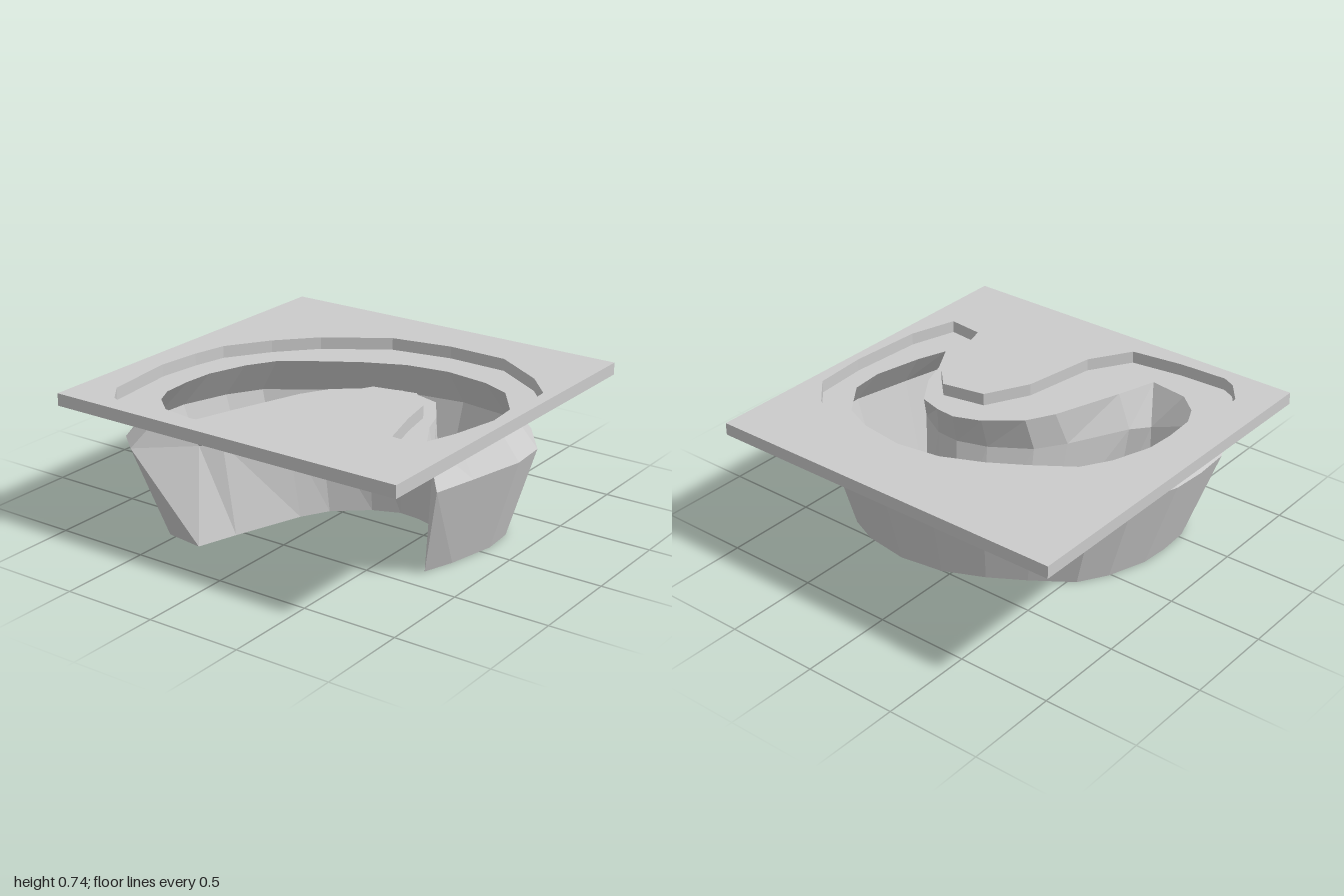
import * as THREE from 'three';

const TOP = 0.735, LEDGE = 0.67, BULGE = 0.48;

// hooked opening cut in the top plate, [x, z]
const opening = [
  [-0.66, 0.92], [-0.73, 0.885], [-0.82, 0.77], [-0.865, 0.37], [-0.84, 0.14], [-0.8, -0.04],
  [-0.65, -0.265], [-0.47, -0.46], [-0.15, -0.67], [0.18, -0.73], [0.51, -0.72], [0.79, -0.545],
  [0.93, -0.39], [0.95, -0.1], [0.925, 0.3], [0.85, 0.55], [0.66, 0.53], [0.59, 0.29],
  [0.55, 0.1], [0.43, -0.025], [0.2, 0.02], [0.08, 0.25], [0.015, 0.65], [-0.12, 0.87], [-0.4, 0.91],
];

// convex outer side of the basin, left tip round the back to the right tip
const outerSide = [
  [-0.54, 0.73], [-0.65, 0.635], [-0.7, 0.53], [-0.71, 0.36], [-0.7, 0.2], [-0.63, -0.01],
  [-0.54, -0.16], [-0.34, -0.3], [-0.16, -0.41], [0.05, -0.505], [0.285, -0.54], [0.53, -0.505],
  [0.69, -0.435], [0.83, -0.245], [0.845, -0.07], [0.79, 0.19], [0.735, 0.35],
];
// concave inner side, back to the left tip
const innerSide = [
  [0.645, 0.19], [0.595, 0.05], [0.48, -0.12], [0.36, -0.155], [0.25, -0.165],
  [0.11, -0.11], [-0.06, 0.03], [-0.14, 0.175], [-0.265, 0.545], [-0.33, 0.76],
];
// the concave side at the height of the bulge
const innerBulge = [
  [0.695, 0.235], [0.637, 0.12], [0.58, 0.01], [0.42, -0.08], [0.29, -0.09],
  [0.13, -0.04], [-0.07, 0.09], [-0.17, 0.24], [-0.33, 0.555], [-0.405, 0.645],
];

const rim = [...outerSide, ...innerSide];
const bulge = [...outerSide.map(([x, z]) => [x * 1.186 - 0.018, z * 1.185]), ...innerBulge];
bulge[outerSide.length - 1] = [0.865, 0.46];
const square = [[-1, 1], [-1, -1], [1, -1], [1, 1]];

const material = new THREE.MeshStandardMaterial({
  color: 0xcccccc, flatShading: true, side: THREE.DoubleSide,
});

function addMesh(group, name, geometry) {
  const mesh = new THREE.Mesh(geometry, material);
  mesh.name = name;
  group.add(mesh);
}

// flat horizontal sheet, optionally with a hole
function sheet(outline, y, hole) {
  const toPoints = (pts) => pts.map(([x, z]) => new THREE.Vector2(x, -z));
  const shape = new THREE.Shape(toPoints(outline));
  if (hole) shape.holes.push(new THREE.Path(toPoints(hole)));
  return new THREE.ShapeGeometry(shape).rotateX(-Math.PI / 2).translate(0, y, 0);
}

// wall joining two closed outlines of equal length
function wall(low, yLow, high, yHigh) {
  const positions = [];
  low.forEach((_, i) => {
    const j = (i + 1) % low.length;
    const a = [low[i][0], yLow, low[i][1]];
    const b = [low[j][0], yLow, low[j][1]];
    const c = [high[j][0], yHigh, high[j][1]];
    const d = [high[i][0], yHigh, high[i][1]];
    positions.push(...a, ...c, ...b, ...a, ...d, ...c);
  });
  const geometry = new THREE.BufferGeometry();
  geometry.setAttribute('position', new THREE.Float32BufferAttribute(positions, 3));
  geometry.computeVertexNormals();
  return geometry;
}

export function createModel() {
  const model = new THREE.Group();
  model.name = 'sunkenBasin';

  // top plate, open underneath
  addMesh(model, 'plateTop', sheet(square, TOP, opening));
  addMesh(model, 'plateSkirt', wall(square, LEDGE, square, TOP));

  // step down to the ledge
  addMesh(model, 'openingWall', wall(opening, LEDGE, opening, TOP));
  addMesh(model, 'ledge', sheet(opening, LEDGE, rim));

  // basin widening to the bulge and closing in at the floor
  addMesh(model, 'basinUpperWall', wall(bulge, BULGE, rim, LEDGE));
  addMesh(model, 'basinLowerWall', wall(rim, 0, bulge, BULGE));
  addMesh(model, 'basinFloor', sheet(rim, 0));
  return model;
}
